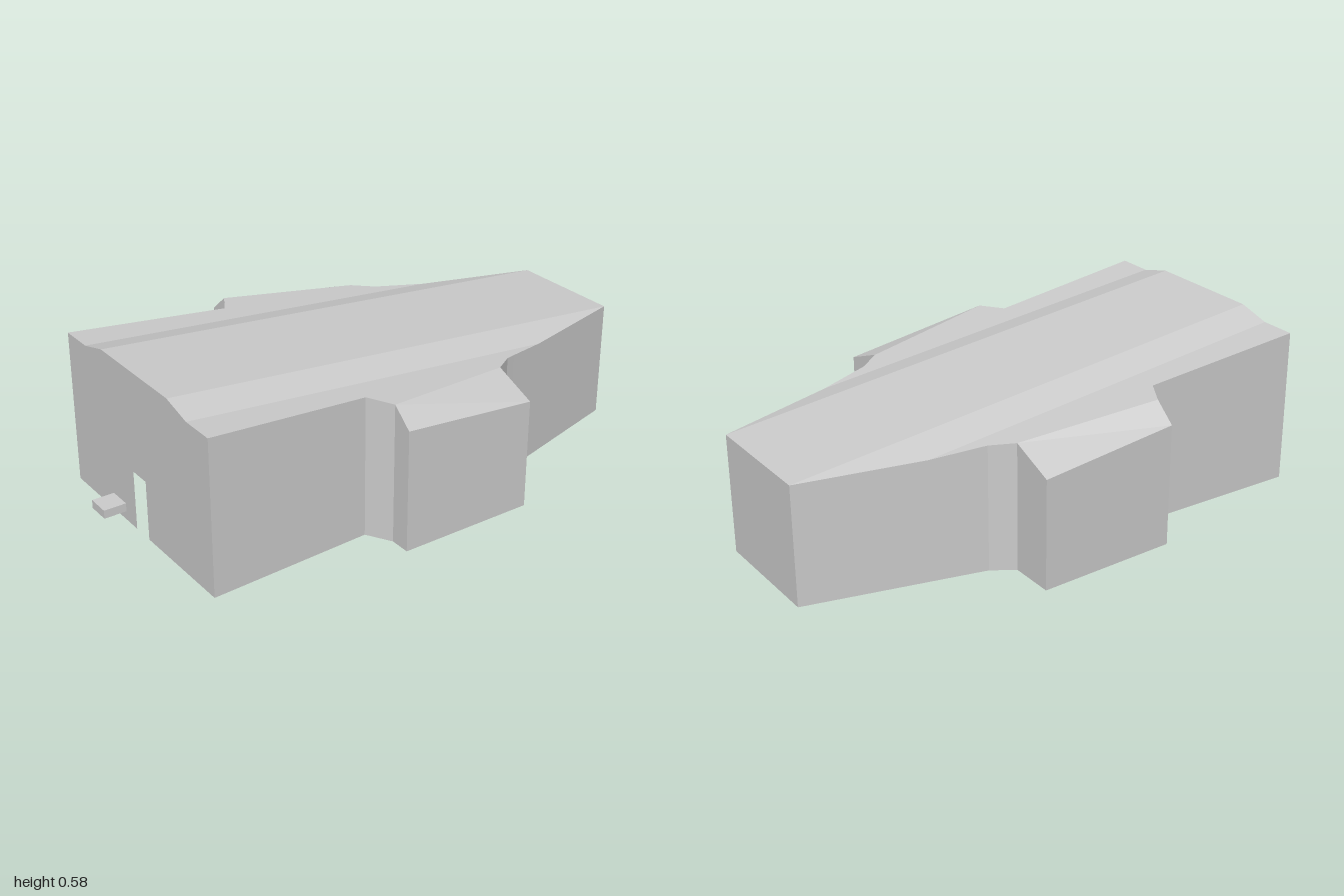
import * as THREE from 'three';

const material = new THREE.MeshStandardMaterial({ color: 0xcccccc, flatShading: true, side: THREE.DoubleSide });

// Half of the floor plan as [x, z], from the front corner to the back corner
const outline = [
  [0.443, 0.79], [0.415, 0.21], [0.5, 0.16], [0.572, 0.16], [0.572, -0.33],
  [0.42, -0.33], [0.37, -0.405], [0.36, -0.44], [0.32, -0.587], [0.208, -1],
];

// Roof height: falls towards the back, steps down at the shoulders, and slopes off over the wings
function roofHeight(x, z) {
  const ax = Math.abs(x);
  const shoulder = 0.03 * THREE.MathUtils.clamp((ax - 0.208) / 0.112, 0, 1);
  const crease = THREE.MathUtils.mapLinear(THREE.MathUtils.clamp(z, -0.33, 0.16), -0.33, 0.16, 0.42, 0.5);
  const wing = 0.062 * Math.max(0, (ax - crease) / (0.572 - crease));
  return 0.508 + 0.0883 * z - shoulder - wing;
}

function addMesh(group, name, geometry) {
  const mesh = new THREE.Mesh(geometry, material);
  mesh.name = name;
  group.add(mesh);
  return mesh;
}

// Plan polygon lifted onto the roof height
function roofPanel(points, side = 1) {
  const shape = new THREE.Shape(points.map(([x, z]) => new THREE.Vector2(x * side, -z)));
  const geometry = new THREE.ShapeGeometry(shape).rotateX(-Math.PI / 2);
  const p = geometry.attributes.position;
  for (let i = 0; i < p.count; i++) p.setY(i, roofHeight(p.getX(i), p.getZ(i)));
  geometry.computeVertexNormals();
  return geometry;
}

// Upright walls following a plan path, from the ground to the roof
function wallStrip(path) {
  const v = [];
  for (let i = 0; i < path.length - 1; i++) {
    const [[ax, az], [bx, bz]] = [path[i], path[i + 1]];
    const a = [ax, 0, az], b = [bx, 0, bz];
    const c = [bx, roofHeight(bx, bz), bz], d = [ax, roofHeight(ax, az), az];
    v.push(...a, ...b, ...c, ...a, ...c, ...d);
  }
  const geometry = new THREE.BufferGeometry();
  geometry.setAttribute('position', new THREE.Float32BufferAttribute(v, 3));
  geometry.computeVertexNormals();
  return geometry;
}

export function createModel() {
  const model = new THREE.Group();
  model.name = 'building';

  // Front wall with the door opening cut from its lower edge
  const top = [0.443, 0.32, 0.208, -0.208, -0.32, -0.443].map((x) => [x, roofHeight(x, 0.79)]);
  const front = [[-0.443, 0], [-0.04, 0], [-0.04, 0.213], [0.04, 0.213], [0.04, 0], [0.443, 0], ...top];
  const frontShape = new THREE.Shape(front.map(([x, y]) => new THREE.Vector2(x, y)));
  addMesh(model, 'frontWall', new THREE.ShapeGeometry(frontShape)).position.z = 0.79;

  // Back wall
  addMesh(model, 'backWall', wallStrip([[0.208, -1], [-0.208, -1]]));

  // Flat centre of the roof
  addMesh(model, 'roofCentre', roofPanel([[-0.208, 0.79], [0.208, 0.79], [0.208, -1], [-0.208, -1]]));

  // Mirrored side walls and outer roof panels
  for (const [side, label] of [[1, 'left'], [-1, 'right']]) {
    const path = outline.map(([x, z]) => [x * side, z]);
    if (side < 0) path.reverse();
    addMesh(model, label + 'Wall', wallStrip(path));
    addMesh(model, label + 'RoofShoulder',
      roofPanel([[0.208, 0.79], [0.32, 0.79], [0.32, -0.587], [0.208, -1]], side));
    addMesh(model, label + 'RoofEdge',
      roofPanel([[0.32, 0.79], ...outline.slice(0, 3), ...outline.slice(5, 9)], side));
    addMesh(model, label + 'WingRoof', roofPanel(outline.slice(2, 6), side));
  }

  // Small block in front of the door
  addMesh(model, 'floatingBlock', new THREE.BoxGeometry(0.077, 0.028, 0.075)).position.set(0.127, 0.229, 0.9625);

  return model;
}
